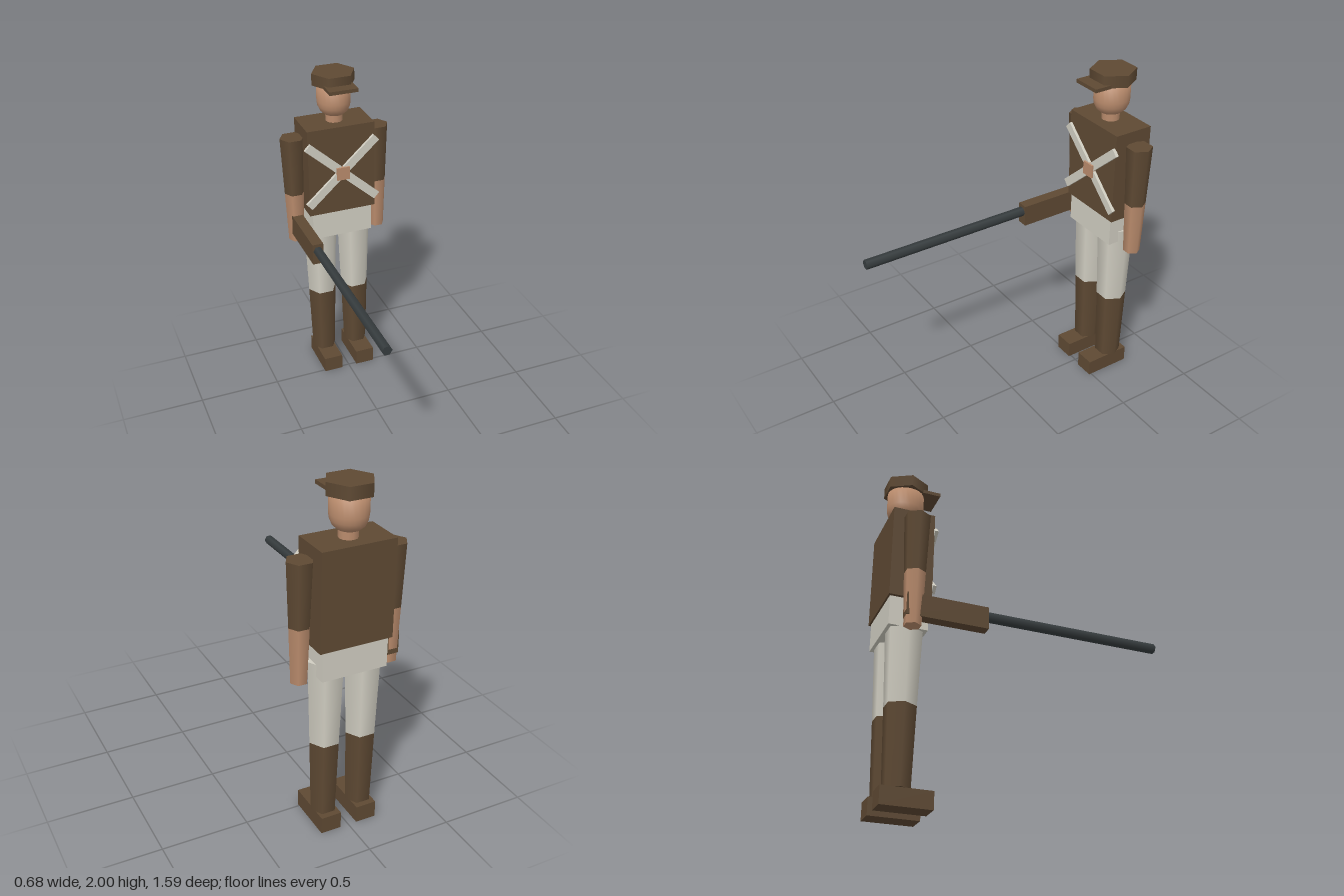
import * as THREE from 'three';

const material = (name, color) => {
  const m = new THREE.MeshStandardMaterial({ color });
  m.name = name;
  return m;
};

export function createModel() {
  const root = new THREE.Group();
  root.name = 'standingRifleman';
  const brown = material('brownCloth', 0x5e4933);
  const cream = material('creamCloth', 0xd0cdc1);
  const skin = material('skin', 0xb98b6c);
  const steel = material('darkSteel', 0x363c3e);
  const Z = -0.67; // depth of the body axis

  const add = (name, geometry, mat, x, y, z) => {
    const mesh = new THREE.Mesh(geometry, mat);
    mesh.name = name;
    mesh.position.set(x, y, z);
    root.add(mesh);
    return mesh;
  };
  // box given by centre x, width and its y and z ranges
  const box = (name, mat, x, w, y0, y1, z0, z1) =>
    add(name, new THREE.BoxGeometry(w, y1 - y0, z1 - z0), mat, x, (y0 + y1) / 2, (z0 + z1) / 2);
  // upright six-sided limb with corners on the x axis
  const limb = (name, mat, x, y0, y1, r0, r1, sides = 6) =>
    add(name, new THREE.CylinderGeometry(r1, r0, y1 - y0, sides).rotateY(Math.PI / 2), mat, x, (y0 + y1) / 2, Z);

  // body
  box('torso', brown, 0, 0.42, 1.15, 1.70, -0.79, -0.55);
  box('hips', cream, 0, 0.38, 0.98, 1.15, -0.78, -0.56);

  // crossed straps and buckle
  for (const s of [-1, 1]) {
    const strap = add('chestStrap', new THREE.BoxGeometry(0.58, 0.05, 0.02), cream, 0, 1.413, -0.543);
    strap.rotation.z = s * THREE.MathUtils.degToRad(42);
  }
  box('buckle', skin, 0, 0.08, 1.37, 1.45, -0.545, -0.522);

  // neck and head with a rounded chin
  limb('neck', skin, 0, 1.69, 1.78, 0.052, 0.052, 12);
  const profile = [[0, 1.7], [0.03, 1.703], [0.06, 1.718], [0.083, 1.742], [0.096, 1.775], [0.1, 1.81], [0.1, 1.94], [0, 1.94]]
    .map(([r, y]) => new THREE.Vector2(r, y + (1.94 - y) * 0.13));
  add('head', new THREE.LatheGeometry(profile, 24), skin, 0, 0, Z).scale.z = 1.07;

  // cap
  limb('cap', brown, 0, 1.93, 2.0, 0.132, 0.132);
  box('capVisor', brown, 0, 0.175, 1.927, 1.948, -0.59, -0.485);

  // arms and legs
  for (const s of [-1, 1]) {
    limb('sleeve', brown, s * 0.266, 1.27, 1.63, 0.061, 0.075);
    limb('forearm', skin, s * 0.266, 0.95, 1.27, 0.049, 0.061);
    limb('thigh', cream, s * 0.11, 0.55, 1.05, 0.09, 0.107);
    limb('boot', brown, s * 0.11, 0.10, 0.55, 0.077, 0.09);
    box('foot', brown, s * 0.11, 0.12, 0, 0.1, -0.77, -0.485);
  }

  // long gun held in the right hand
  box('gunStock', brown, -0.267, 0.066, 1.0, 1.13, -0.715, -0.25);
  const barrel = new THREE.CylinderGeometry(0.029, 0.029, 1.08, 6).rotateY(Math.PI / 2).rotateX(Math.PI / 2);
  add('gunBarrel', barrel, steel, -0.267, 1.086, 0.255);

  return root;
}
